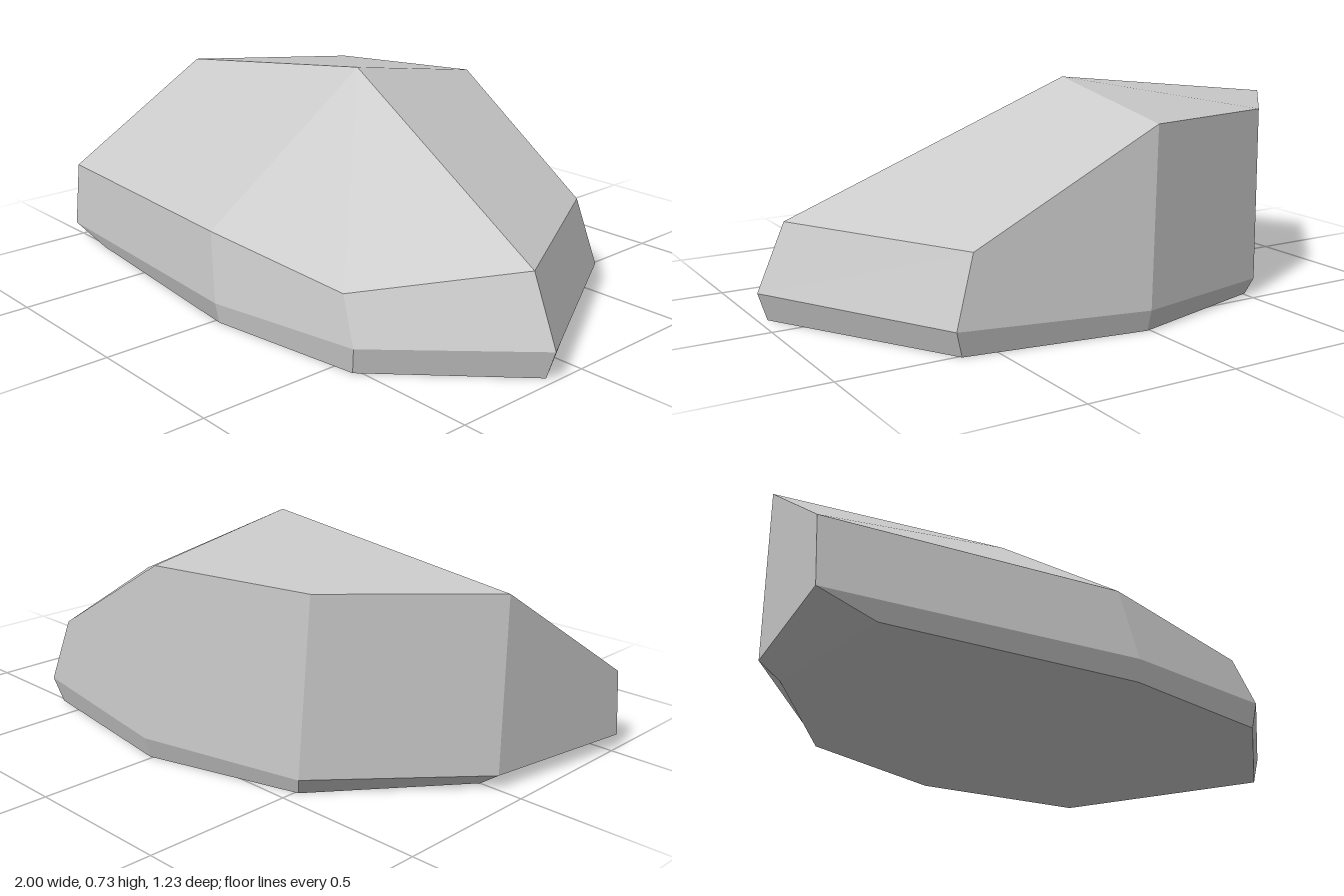
import * as THREE from 'three';

// Cross-sections of the boulder, eight corners each, counter-clockwise from above
const base = [
  [-0.81, 0, 0.517], [0.02, 0, 0.60], [0.57, 0, 0.52], [0.97, 0, 0.125],
  [0.61, 0, -0.51], [0.01, 0, -0.595], [-0.51, 0, -0.445], [-0.85, 0, 0],
];
const waist = [
  [-1, 0.05, 0.525], [0.02, 0.07, 0.613], [0.585, 0.085, 0.53], [1, 0.093, 0.123],
  [0.637, 0.085, -0.53], [0.01, 0.07, -0.615], [-0.53, 0.055, -0.465], [-0.92, 0.05, -0.005],
];
const shoulder = [
  [-1, 0.275, 0.50], [-0.03, 0.293, 0.585], [0.515, 0.23, 0.507], [0.905, 0.314, 0.12],
  [0.565, 0.306, -0.503], [-0.03, 0.64, -0.583], [-0.55, 0.63, -0.44], [-0.925, 0.62, -0.005],
];
const peak = [-0.03, 0.73, -0.04];

// Builds polygon facets, each with a single normal so it shades as one flat plane
function facetedGeometry(facets) {
  const positions = [], normals = [];
  for (const facet of facets) {
    const corners = facet.map((p) => new THREE.Vector3(...p));
    const normal = new THREE.Vector3();
    corners.forEach((p, i) => {
      normal.add(new THREE.Vector3().crossVectors(p, corners[(i + 1) % corners.length]));
    });
    normal.normalize();
    for (let i = 1; i < facet.length - 1; i++) {
      positions.push(...facet[0], ...facet[i], ...facet[i + 1]);
      for (let k = 0; k < 3; k++) normals.push(normal.x, normal.y, normal.z);
    }
  }
  const geometry = new THREE.BufferGeometry();
  geometry.setAttribute('position', new THREE.Float32BufferAttribute(positions, 3));
  geometry.setAttribute('normal', new THREE.Float32BufferAttribute(normals, 3));
  return geometry;
}

export function createModel() {
  const stone = new THREE.MeshStandardMaterial({ color: 0xc9c9c9 });
  stone.name = 'grey stone';

  // Flat underside, then the undercut and the walls around it
  const facets = [[...base].reverse()];
  for (let i = 0; i < 8; i++) {
    const j = (i + 1) % 8;
    facets.push([base[j], waist[j], waist[i], base[i]]);
    facets.push([waist[i], waist[j], shoulder[j], shoulder[i]]);
  }
  // Four roof planes meeting at the peak
  for (let i = 1; i < 8; i += 2) {
    facets.push([peak, shoulder[i], shoulder[(i + 1) % 8], shoulder[(i + 2) % 8]]);
  }

  const boulder = new THREE.Mesh(facetedGeometry(facets), stone);
  boulder.name = 'boulder';

  const model = new THREE.Group();
  model.name = 'rock';
  model.add(boulder);
  return model;
}
